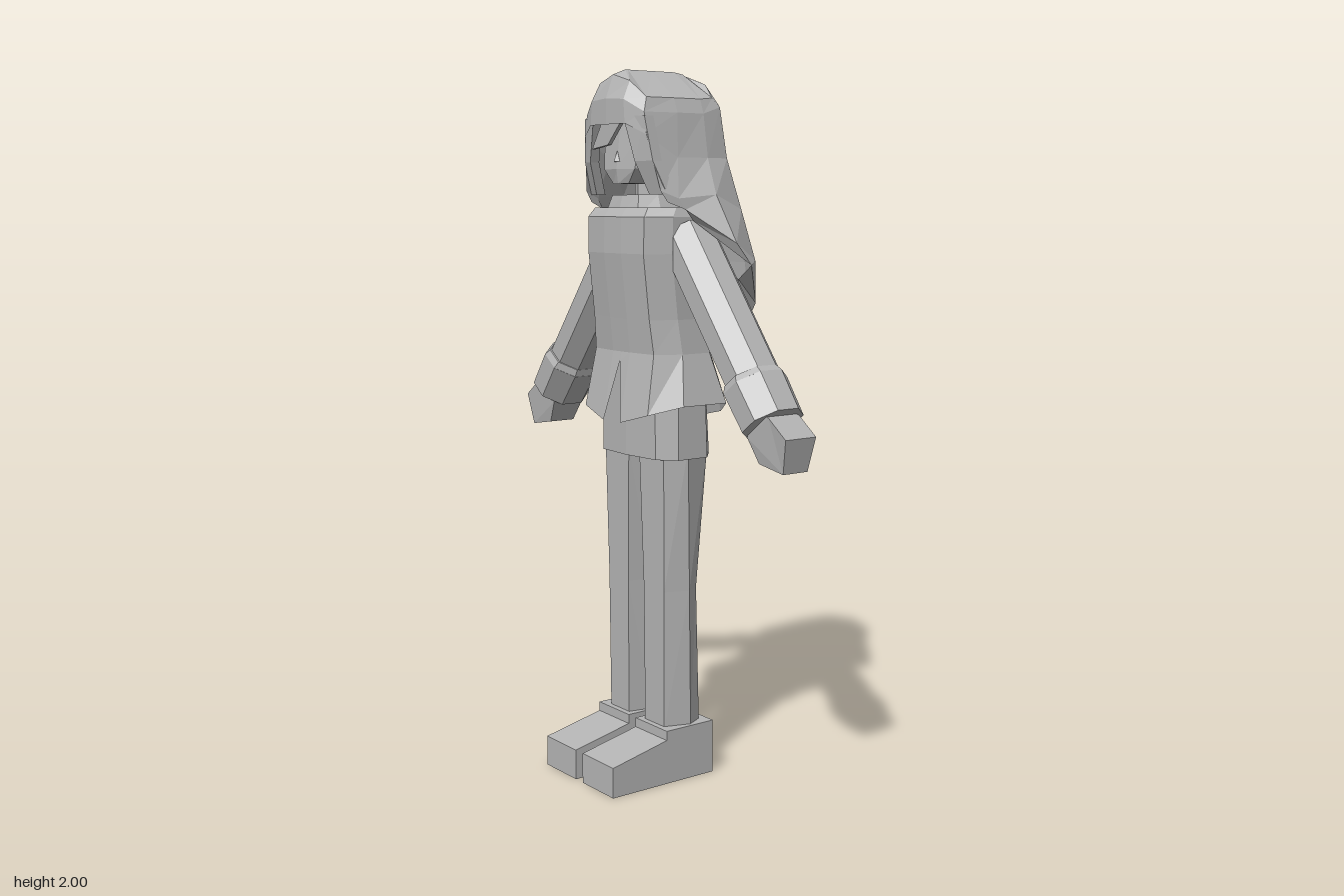
import * as THREE from 'three';

const grey = new THREE.MeshStandardMaterial({ color: 0xb4b4b4, side: THREE.DoubleSide, flatShading: true });
grey.name = 'plain grey';

function part(parent, name, geometry) {
  const mesh = new THREE.Mesh(geometry, grey);
  mesh.name = name;
  parent.add(mesh);
  return mesh;
}

// Skin between closed rings listed bottom to top; null points leave gaps
function loft(rings) {
  const v = [];
  for (let i = 0; i < rings.length - 1; i++) {
    const a = rings[i], b = rings[i + 1], n = a.length;
    for (let j = 0; j < n; j++) {
      const k = (j + 1) % n;
      if (!a[j] || !a[k] || !b[j] || !b[k]) continue;
      v.push(...a[j], ...a[k], ...b[k], ...a[j], ...b[k], ...b[j]);
    }
  }
  const g = new THREE.BufferGeometry();
  g.setAttribute('position', new THREE.Float32BufferAttribute(v, 3));
  g.computeVertexNormals();
  return g;
}

// Complete a front-to-back half ring with its mirror image
function mirrorRing(half) {
  const other = half.slice(1, -1).reverse().map(p => p && [-p[0], p[1], p[2]]);
  return [...half, ...other];
}

// Eight-point body section
const section = (y, w, zf, zb) => mirrorRing([
  [0, y, zf], [w * 0.72, y, zf - 0.01], [w, y, zf * 0.4],
  [w, y, zb * 0.5], [w * 0.65, y, zb + 0.01], [0, y, zb]]);

// Octagonal tube between two points in the x-y plane
function limb(parent, name, a, b, ra, rb, z, zScale) {
  const dx = b[0] - a[0], dy = b[1] - a[1], c = Math.cos(Math.PI / 8);
  const g = new THREE.CylinderGeometry(rb / c, ra / c, Math.hypot(dx, dy), 8);
  g.rotateY(Math.PI / 8);
  g.scale(1, 1, zScale);
  g.rotateZ(Math.atan2(-dx, dy));
  g.translate((a[0] + b[0]) / 2, (a[1] + b[1]) / 2, z);
  return part(parent, name, g);
}

function jacket(parent) {
  const row = (y, w, zf, zb) => mirrorRing([
    [0, y, zf], [0.04, y, zf], [w * 0.78, y, zf - 0.01], [w, y, zf - 0.08],
    [w, y, zb + 0.06], [w * 0.65, y, zb + 0.01], [0.04, y, zb], [0, y, zb]]);
  // Flared hem, slit at front and back
  const hem = mirrorRing([
    [0, 1.2, 0.11], [0.04, 1.03, 0.14], [0.15, 1.06, 0.125], [0.215, 1.085, 0.05],
    [0.215, 1.085, -0.1], [0.13, 1.05, -0.15], [0.04, 1.03, -0.165], [0, 1.2, -0.135]]);
  part(parent, 'jacket', loft([
    hem, row(1.225, 0.177, 0.105, -0.13), row(1.32, 0.168, 0.115, -0.13),
    row(1.41, 0.168, 0.125, -0.135), row(1.5, 0.168, 0.135, -0.135),
    row(1.6, 0.17, 0.133, -0.11), row(1.625, 0.16, 0.115, -0.1), row(1.61, 0.1, 0.09, -0.08)]));
  part(parent, 'collar', loft([
    section(1.6, 0.11, 0.115, -0.09), section(1.66, 0.085, 0.1, -0.07), section(1.61, 0.06, 0.07, -0.05)]));
}

function hair(parent) {
  // Columns run front centre, front corner, side, back corner, back centre
  const _ = null;
  const rows = [
    [[0, 2, .09], [0, 2, .09], [0, 2, .08], [0, 2, 0], [0, 2, -.08], [0, 1.995, -.11], [0, 1.99, -.12], [0, 1.99, -.12]],
    [[0, 1.985, .13], [.07, 1.965, .125], [.125, 1.92, .11], [.13, 1.92, .02], [.13, 1.92, -.07], [.12, 1.925, -.12], [.07, 1.965, -.135], [0, 1.985, -.14]],
    [[0, 1.92, .155], [.075, 1.915, .15], [.135, 1.88, .125], [.145, 1.88, .02], [.145, 1.88, -.07], [.13, 1.9, -.14], [.07, 1.92, -.16], [0, 1.925, -.165]],
    [[0, 1.85, .155], [.08, 1.85, .15], [.145, 1.82, .125], [.16, 1.76, .03], [.165, 1.76, -.07], [.15, 1.76, -.15], [.08, 1.75, -.195], [0, 1.75, -.2]]];
  // Long rear sheet
  const lower = [
    [_, _, [.175, 1.67, .1], [.19, 1.65, .05], [.215, 1.66, -.06], [.19, 1.62, -.17], [.1, 1.6, -.215], [0, 1.6, -.225]],
    [_, _, [.18, 1.64, .08], [.195, 1.62, .03], [.28, 1.53, -.08], [.24, 1.48, -.18], [.13, 1.47, -.235], [0, 1.47, -.242]],
    [_, _, _, [.19, 1.59, .0], [.295, 1.47, -.12], [.22, 1.36, -.2], [.14, 1.34, -.245], [0, 1.34, -.258]],
    [_, _, _, _, [.24, 1.43, -.12], [.2, 1.28, -.17], [.12, 1.26, -.2], [0, 1.26, -.215]],
    [_, _, _, _, [.2, 1.46, -.11], [.18, 1.3, -.14], [.11, 1.28, -.14], [0, 1.28, -.14]]];
  part(parent, 'hair', loft([...rows, ...lower].map(mirrorRing).reverse()));

  // Slanted fringe lock
  const lock = new THREE.Shape([[-0.075, 1.785], [0.0, 1.795], [0.075, 1.87], [-0.02, 1.87]].map(p => new THREE.Vector2(...p)));
  part(parent, 'fringeLock', new THREE.ExtrudeGeometry(lock, { depth: 0.012, bevelEnabled: false })).position.z = 0.137;

  // Strands framing the face
  for (const s of [-1, 1]) {
    const strand = (y, x0, x1, z) => [[s * x0, y, z], [s * x1, y, z - 0.02], [s * x1, y, z - 0.05], [s * x0, y, z - 0.03]];
    const rings = [strand(1.66, 0.125, 0.18, 0.1), strand(1.75, 0.105, 0.16, 0.135), strand(1.87, 0.07, 0.14, 0.148)];
    part(parent, s > 0 ? 'leftFaceStrand' : 'rightFaceStrand', loft(s > 0 ? rings : rings.reverse()));
  }
}

function head(parent) {
  part(parent, 'head', loft([
    section(1.69, 0.001, 0.05, -0.05), section(1.69, 0.05, 0.115, -0.06), section(1.73, 0.1, 0.12, -0.1),
    section(1.82, 0.115, 0.11, -0.12), section(1.92, 0.1, 0.1, -0.1), section(1.94, 0.001, 0.01, -0.01)]));
  const nose = new THREE.ConeGeometry(0.012, 0.03, 4);
  nose.translate(0, 1.765, 0.117);
  part(parent, 'nose', nose);
  const neck = new THREE.CylinderGeometry(0.045, 0.05, 0.14, 8);
  neck.translate(0, 1.65, 0);
  part(parent, 'neck', neck);
}

function arm(parent) {
  limb(parent, 'sleeve', [0.43, 1.16], [0.13, 1.55], 0.068, 0.069, -0.025, 1.12);
  limb(parent, 'cuff', [0.502, 1.066], [0.43, 1.16], 0.074, 0.077, -0.023, 1.15);
  limb(parent, 'cuffEdge', [0.43, 1.16], [0.418, 1.176], 0.077, 0.069, -0.023, 1.15);
  // Mitten hand, narrowing toward the fingertips
  const outline = [[0.46, 1.03], [0.497, 0.963], [0.592, 0.947], [0.612, 1.04], [0.545, 1.09], [0.5, 1.1]];
  const hand = new THREE.ExtrudeGeometry(new THREE.Shape(outline.map(p => new THREE.Vector2(...p))), { depth: 0.105, bevelEnabled: false });
  hand.translate(0, 0, -0.0525);
  const p = hand.attributes.position;
  for (let i = 0; i < p.count; i++) if (p.getY(i) < 1) p.setZ(i, p.getZ(i) * 0.8);
  hand.translate(0, 0, -0.022);
  hand.computeVertexNormals();
  part(parent, 'hand', hand);
}

function leg(parent) {
  // Six-sided trouser leg
  const ring = (y, xi, fi, fo, xo, zf, zm, zb) => [
    [fi, y, zf], [fo, y, zf], [xo, y, zm], [fo, y, zb], [fi, y, zb], [xi, y, zm]];
  part(parent, 'trouserLeg', loft([
    ring(0.14, 0.025, 0.04, 0.13, 0.155, 0.052, -0.025, -0.075),
    ring(0.55, 0.022, 0.038, 0.133, 0.16, 0.055, -0.015, -0.06),
    ring(0.96, 0.008, 0.025, 0.14, 0.172, 0.062, 0, -0.093)]));
  // Wedge-toed shoe
  const side = [[-0.097, 0], [0.257, 0], [0.257, 0.087], [0.07, 0.128], [0.07, 0.155], [-0.097, 0.155]];
  const shoe = new THREE.ExtrudeGeometry(new THREE.Shape(side.map(p => new THREE.Vector2(...p))), { depth: 0.15, bevelEnabled: false });
  shoe.rotateY(-Math.PI / 2);
  shoe.translate(0.167, 0, 0);
  part(parent, 'shoe', shoe);
}

export function createModel() {
  const model = new THREE.Group();
  model.name = 'longHairedFigure';

  hair(model);
  head(model);
  jacket(model);
  part(model, 'hips', loft([
    section(0.93, 0.001, 0.01, -0.01), section(0.93, 0.175, 0.09, -0.13), section(1.2, 0.17, 0.09, -0.115)]));

  // Arms and legs on both sides
  for (const s of [1, -1]) {
    const limbs = new THREE.Group();
    limbs.name = s > 0 ? 'leftLimbs' : 'rightLimbs';
    limbs.scale.x = s;
    arm(limbs);
    leg(limbs);
    model.add(limbs);
  }
  return model;
}
